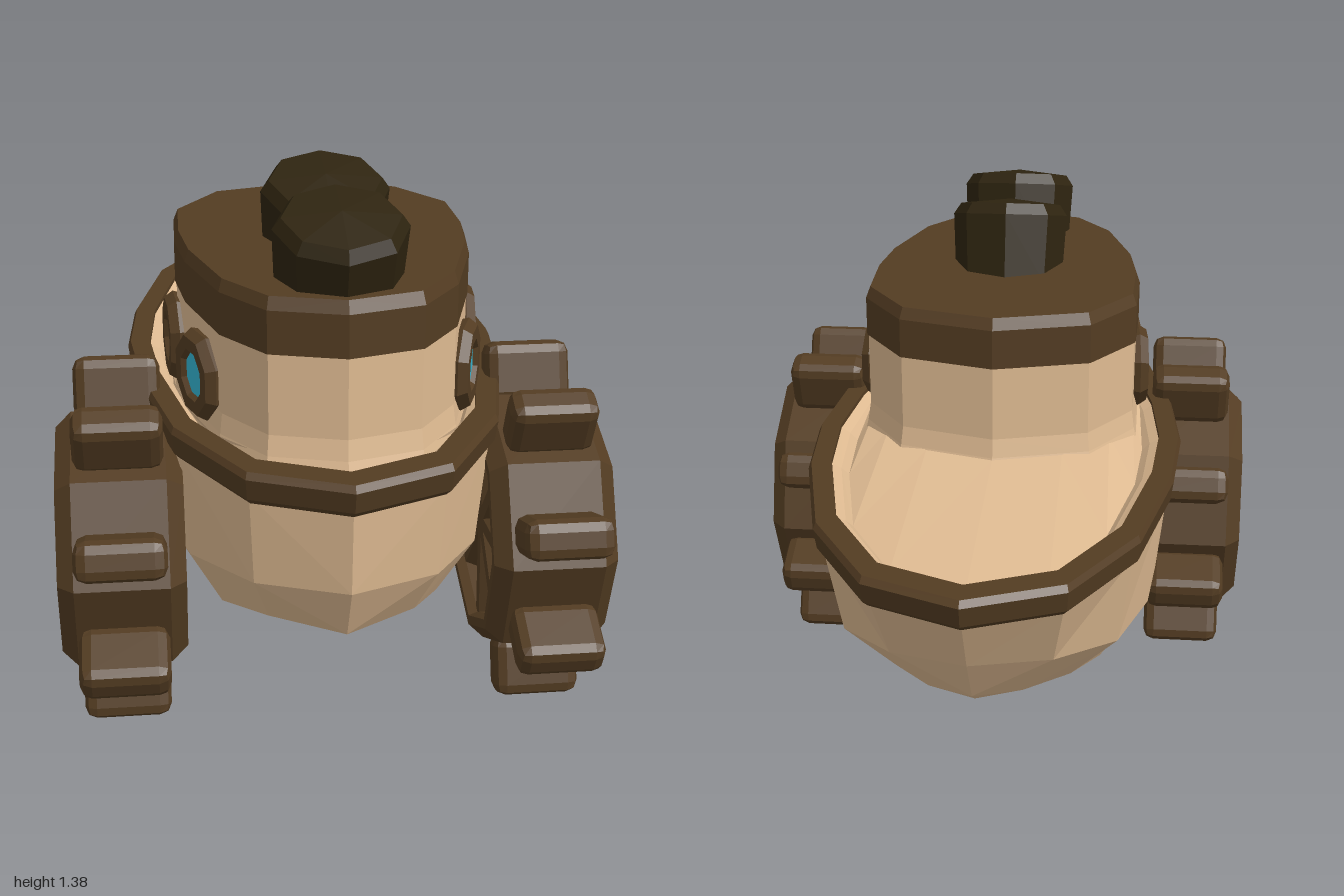
import * as THREE from 'three';
import { RoundedBoxGeometry } from 'three/addons/geometries/RoundedBoxGeometry.js';

const rad = THREE.MathUtils.degToRad;

function paint(name, color, side = THREE.FrontSide) {
  const m = new THREE.MeshStandardMaterial({ color, flatShading: true, side });
  m.name = name;
  return m;
}

// Mirror a half outline (front to back along +x) into a closed loop.
function mirrorLoop(half) {
  const back = half.slice(1, -1).reverse().map(([x, y, z]) => [-x, y, z]);
  return [...half, ...back].map((p) => new THREE.Vector3(...p));
}

// Level loop from a plan outline of [x, z] pairs, scaled about centre cz.
function ring(plan, y, sx, sz = sx, cz = 0) {
  return mirrorLoop(plan.map(([x, z]) => [x * sx, y, cz + (z - cz) * sz]));
}

// Faceted skin through closed loops, each quad split along its shorter diagonal.
function loft(loops) {
  const pos = [];
  const tri = (a, b, c) => {
    const area = b.clone().sub(a).cross(c.clone().sub(a)).length();
    if (area > 1e-7) pos.push(...a, ...b, ...c);
  };
  for (let k = 0; k + 1 < loops.length; k++) {
    const A = loops[k], B = loops[k + 1], n = A.length;
    for (let i = 0; i < n; i++) {
      const j = (i + 1) % n;
      if (A[i].distanceTo(B[j]) < A[j].distanceTo(B[i])) {
        tri(A[i], A[j], B[j]);
        tri(A[i], B[j], B[i]);
      } else {
        tri(A[i], A[j], B[i]);
        tri(A[j], B[j], B[i]);
      }
    }
  }
  const g = new THREE.BufferGeometry();
  g.setAttribute('position', new THREE.Float32BufferAttribute(pos, 3));
  g.computeVertexNormals();
  return g;
}

// Octagonal turned shape about y.
function turned(points, phase = 0) {
  const lathe = new THREE.LatheGeometry(points.map((p) => new THREE.Vector2(...p)), 8, phase);
  const g = lathe.toNonIndexed();
  g.computeVertexNormals();
  return g;
}

function add(parent, name, geometry, material) {
  const mesh = new THREE.Mesh(geometry, material);
  mesh.name = name;
  parent.add(mesh);
  return mesh;
}

export function createModel() {
  const model = new THREE.Group();
  model.name = 'paddleBoat';
  const wood = paint('brown wood', 0x533c22);
  const cream = paint('cream planks', 0xdfbb92, THREE.DoubleSide);
  const soot = paint('dark funnel', 0x2e2410);
  const glass = paint('blue glass', 0x35b6d3);

  // Hull: keel, bilge, side and gunwale loops
  const deckPlan = [[0, 1], [0.24, 0.9], [0.4, 0.62], [0.475, 0.27], [0.5, 0],
    [0.48, -0.27], [0.4, -0.63], [0.24, -0.9], [0, -1]];
  const keel = [[0, 0.36, 0.86], [0, 0.27, 0.68], [0, 0.19, 0.45], [0, 0.145, 0.22], [0, 0.14, 0.05],
    [0, 0.18, -0.22], [0, 0.27, -0.5], [0, 0.36, -0.67], [0, 0.41, -0.74]];
  const bilge = [[0, 0.36, 0.86], [0.18, 0.36, 0.75], [0.28, 0.27, 0.5], [0.32, 0.215, 0.22], [0.32, 0.215, 0],
    [0.3, 0.25, -0.24], [0.23, 0.32, -0.46], [0.12, 0.38, -0.65], [0, 0.41, -0.74]];
  const side = [[0, 0.51, 0.94], [0.22, 0.5, 0.84], [0.36, 0.45, 0.58], [0.43, 0.42, 0.27], [0.445, 0.41, 0],
    [0.425, 0.43, -0.25], [0.35, 0.47, -0.54], [0.2, 0.53, -0.75], [0, 0.56, -0.85]];
  add(model, 'hull', loft([keel, bilge, side].map(mirrorLoop).concat([ring(deckPlan, 0.74, 0.96)])), cream);

  // Gunwale rim, and shallow deck rising to the foot of the cabin
  add(model, 'gunwale', loft([
    ring(deckPlan, 0.72, 0.95, 0.96), ring(deckPlan, 0.74, 0.985), ring(deckPlan, 0.795, 1),
    ring(deckPlan, 0.81, 0.985), ring(deckPlan, 0.81, 0.88, 0.91), ring(deckPlan, 0.78, 0.875, 0.905),
  ]), wood);
  add(model, 'deck', loft([
    ring(deckPlan, 0.8, 0.88, 0.91), ring(deckPlan, 0.785, 0.83, 0.88),
    ring(deckPlan, 0.765, 0.79, 0.86), ring(deckPlan, 0.808, 0.76, 0.53, 0.69),
  ]), cream);

  // Cabin walls and roof
  const cabinPlan = [[0, 0.85], [0.18, 0.8], [0.28, 0.66], [0.35, 0.42], [0.37, 0.25],
    [0.365, 0.05], [0.25, -0.12], [0, -0.19]];
  const cabin = (y, s) => ring(cabinPlan, y, s, s, 0.33);
  add(model, 'cabinWalls', loft([cabin(0.77, 1.04), cabin(0.81, 1.015), cabin(0.86, 0.995), cabin(1.07, 0.995)]), cream);
  add(model, 'cabinRoof', loft([cabin(1.06, 0.98), cabin(1.06, 1.005), cabin(1.165, 1.005),
    cabin(1.195, 0.975), cabin(1.195, 0)]), wood);

  // Two funnels leaning forward
  const funnel = turned([[0, -0.04], [0.15, -0.04], [0.16, 0.145], [0.14, 0.175], [0, 0.19]]);
  for (const [name, z] of [['frontFunnel', 0.65], ['rearFunnel', 0.32]]) {
    const f = add(model, name, funnel, soot);
    f.position.set(0, 1.18, z);
    f.rotation.x = rad(16);
  }

  // Portholes, axis along x
  const frame = turned([[0.056, -0.03], [0.105, -0.03], [0.115, 0.005], [0.1, 0.028],
    [0.066, 0.028], [0.056, 0.015], [0.056, -0.03]], rad(22.5)).rotateZ(-Math.PI / 2);
  const pane = new THREE.CylinderGeometry(0.06, 0.06, 0.008, 8, 1, false, rad(22.5)).rotateZ(-Math.PI / 2);

  // Paddle wheel parts, axis along x
  const rim = turned([[0.275, -0.155], [0.3, -0.155], [0.34, -0.115], [0.34, 0.115], [0.3, 0.155],
    [0.275, 0.155], [0.265, 0.13], [0.265, -0.13], [0.275, -0.155]], rad(-4)).rotateZ(-Math.PI / 2);
  const spoke = new THREE.CylinderGeometry(0.036, 0.036, 0.29, 6).translate(0, 0.145, 0);
  const paddle = new RoundedBoxGeometry(0.22, 0.16, 0.1, 1, 0.03).translate(0, 0.382, 0);

  for (const s of [1, -1]) {
    const label = s > 0 ? 'left' : 'right';
    for (const [x, z, yaw] of [[0.322, 0.54, 20], [0.37, 0.26, 5]]) {
      const port = new THREE.Group();
      port.name = label + 'Porthole';
      add(port, 'portholeFrame', frame, wood);
      add(port, 'portholeGlass', pane, glass).position.x = 0.012;
      port.position.set(s * x, 0.917, z);
      port.rotation.y = s > 0 ? -rad(yaw) : Math.PI + rad(yaw);
      model.add(port);
    }

    // Spokes sit behind both faces of the wheel
    const wheel = new THREE.Group();
    wheel.name = label + 'PaddleWheel';
    add(wheel, 'wheelRim', rim, wood);
    for (let k = 0; k < 8; k++) {
      for (const x of [-0.1, 0.1]) {
        const rod = add(wheel, 'spoke', spoke, wood);
        rod.position.x = x;
        rod.rotation.x = rad(-4 + 45 * k);
      }
      add(wheel, 'paddle', paddle, wood).rotation.x = rad(-19 + 45 * k);
    }
    wheel.position.set(s * 0.53, 0.446, 0.453);
    model.add(wheel);
  }
  return model;
}
